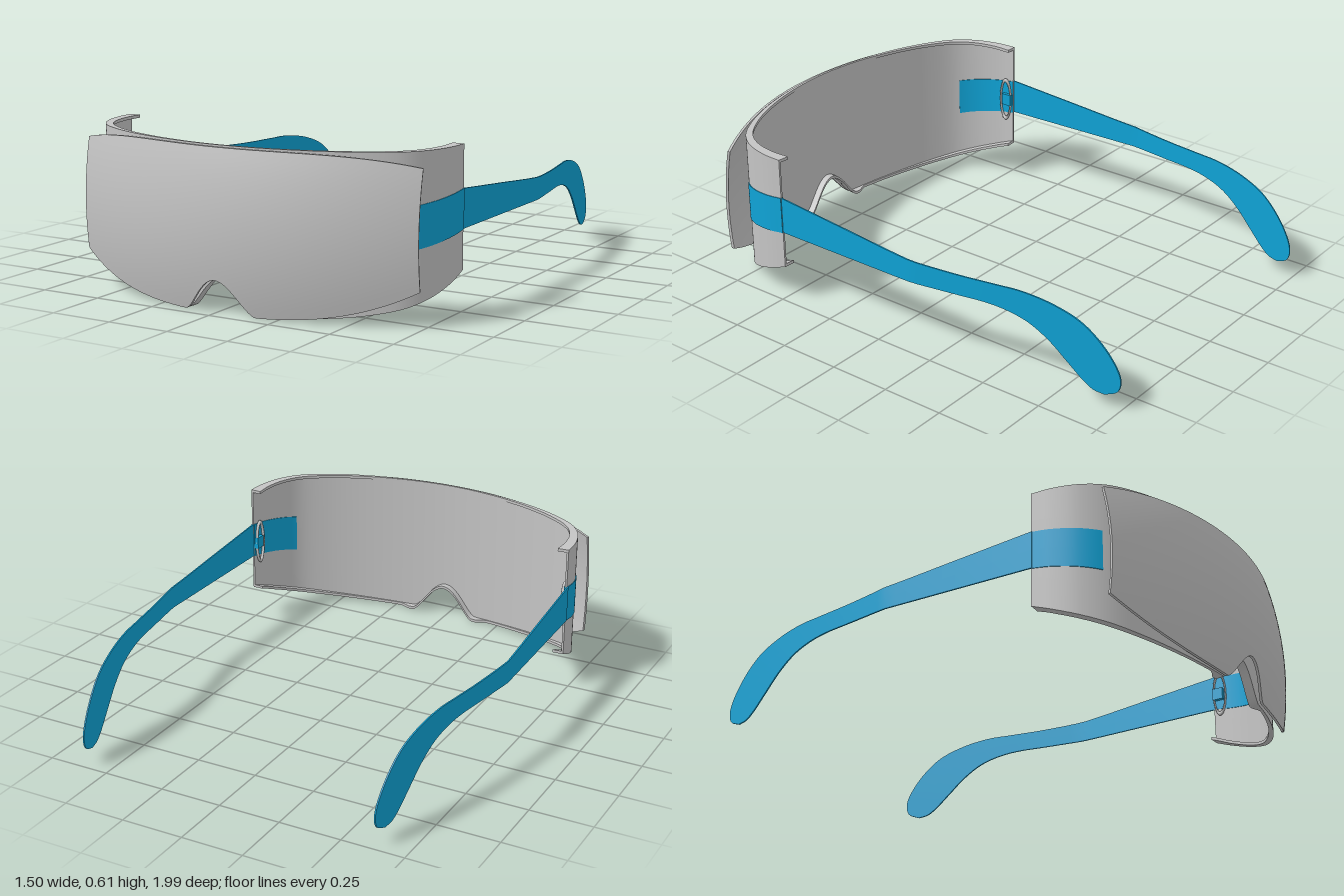
import * as THREE from 'three';
import { mergeGeometries } from 'three/addons/utils/BufferGeometryUtils.js';

// Smooth quad grid over f(a, b) -> [x, y, z]
function grid(na, nb, f, flip) {
  const pos = [], idx = [];
  for (let i = 0; i <= na; i++) for (let j = 0; j <= nb; j++) pos.push(...f(i / na, j / nb));
  for (let i = 0; i < na; i++) for (let j = 0; j < nb; j++) {
    const a = i * (nb + 1) + j, b = a + nb + 1, c = b + 1, d = a + 1;
    if (flip) idx.push(a, c, b, a, d, c);
    else idx.push(a, b, c, a, c, d);
  }
  const g = new THREE.BufferGeometry();
  g.setAttribute('position', new THREE.Float32BufferAttribute(pos, 3));
  g.setIndex(idx);
  g.computeVertexNormals();
  return g;
}

// Closed curved slab: f(u along, v up, d depth inward), sharp at its edges
function slab(nu, nv, f, flip = false) {
  return mergeGeometries([
    grid(nu, nv, (u, v) => f(u, v, 0), flip),
    grid(nu, nv, (u, v) => f(u, v, 1), !flip),
    grid(nu, 1, (u, d) => f(u, 0, d), !flip),
    grid(nu, 1, (u, d) => f(u, 1, d), flip),
    grid(nv, 1, (v, d) => f(0, v, d), flip),
    grid(nv, 1, (v, d) => f(1, v, d), !flip),
  ]);
}

const lerp = THREE.MathUtils.lerp;

// Arch cut for the nose
function notch(x) {
  const t = Math.abs(x - 0.015) / 0.15;
  return t < 1 ? 0.127 * Math.pow(1 - t * t, 1.7) : 0;
}

// Plan line of the wraparound frame, from the -x end past the front to the +x end
const half = [[0.737, 0.48], [0.733, 0.56], [0.705, 0.66], [0.65, 0.742], [0.55, 0.812], [0.4, 0.876], [0.2, 0.924]];
const planCurve = new THREE.CatmullRomCurve3([
  ...half.map(([x, z]) => new THREE.Vector3(0.008 - x, 0, z)),
  new THREE.Vector3(0.008, 0, 0.941),
  ...half.slice().reverse().map(([x, z]) => new THREE.Vector3(0.008 + x, 0, z)),
], false, 'centripetal');

function onFrame(u, y, inset) {
  const p = planCurve.getPointAt(u), t = planCurve.getTangentAt(u);
  return [p.x + t.z * inset, y, p.z - t.x * inset];
}

const TOP = 0.608;
function frameBottom(u) {
  const p = planCurve.getPointAt(u);
  return 0.15 * Math.pow(Math.max(0, (0.941 - p.z) / 0.461), 1.2) + notch(p.x);
}
const lipWidth = (u) => 0.01 + 0.036 * Math.pow(Math.abs(2 * u - 1), 2);
function lowerLipWidth(u) {
  const x = planCurve.getPointAt(u).x - 0.015;
  return Math.max(lipWidth(u), 0.036 * Math.min(1, Math.max(0, (0.23 - Math.abs(x)) / 0.06)));
}

// Edges of an earpiece in the side view: [z, y]
const edge = (pts) => new THREE.CatmullRomCurve3(pts.map(([z, y]) => new THREE.Vector3(0, y, z)), false, 'centripetal');
const upperEdge = edge([[0.485, 0.448], [0.16, 0.418], [-0.15, 0.39], [-0.35, 0.382], [-0.5, 0.382], [-0.61, 0.381],
  [-0.74, 0.358], [-0.85, 0.312], [-0.95, 0.215], [-0.995, 0.125], [-0.985, 0.075], [-0.94, 0.052]]);
const lowerEdge = edge([[0.485, 0.3], [0.16, 0.3], [-0.15, 0.3], [-0.35, 0.3], [-0.46, 0.3], [-0.55, 0.29],
  [-0.64, 0.262], [-0.72, 0.21], [-0.79, 0.145], [-0.86, 0.08], [-0.895, 0.058], [-0.935, 0.051]]);

// Sideways position of an earpiece from [z, x] stations
function bend(path, z) {
  let i = 0;
  while (i < path.length - 2 && z < path[i + 1][0]) i++;
  const [z0, x0] = path[i], [z1, x1] = path[i + 1];
  return lerp(x0, x1, (z - z0) / (z1 - z0));
}

export function createModel() {
  const group = new THREE.Group();
  const grey = new THREE.MeshStandardMaterial({ color: 0xc4c4c4 });
  grey.name = 'grey';
  const blue = new THREE.MeshStandardMaterial({ color: 0x0fa3d6 });
  blue.name = 'blue';
  const add = (name, geometry, material) => {
    const mesh = new THREE.Mesh(geometry, material);
    mesh.name = name;
    group.add(mesh);
    return mesh;
  };

  // Frame: thin wall with lips folded inward along both rims
  add('frameWall', slab(140, 4, (u, v, d) => onFrame(u, lerp(frameBottom(u), TOP, v), 0.008 * d)), grey);
  add('frameUpperLip', slab(140, 1, (u, v, d) => onFrame(u, TOP - 0.012 * (1 - v), lerp(0.002, lipWidth(u), d))), grey);
  add('frameLowerLip', slab(140, 1, (u, v, d) => onFrame(u, frameBottom(u) + 0.012 * v, lerp(0.002, lowerLipWidth(u), d))), grey);

  // Visor: shield bulging both ways, standing off the frame at its sides
  add('visor', slab(140, 16, (u, v, d) => {
    const s = 2 * u - 1, t = Math.abs(s), x = 0.015 + 0.72 * s;
    const low = 0.13 * t ** 3 + notch(x), high = 0.602 - 0.042 * t ** 4;
    const y = lerp(low, high, v);
    const z = 0.998 - 0.2 * s * s - 0.04 * ((y - 0.3) / 0.3) ** 2;
    return [x - 0.004 * s * d, y, z - 0.01 * d];
  }), grey);

  const sides = [
    { name: 'left', sign: 1, reach: 1, path: [[0.49, 0.741], [-0.165, 0.743], [-0.42, 0.7], [-1, 0.597]] },
    { name: 'right', sign: -1, reach: 0.988, path: [[0.49, -0.731], [-0.15, -0.749], [-0.42, -0.71], [-1, -0.622]] },
  ];
  for (const { name, sign, reach, path } of sides) {
    // Earpiece: thin strip with a hooked tip
    add(name + 'Earpiece', slab(66, 2, (u, v, d) => {
      const p = lowerEdge.getPoint(u).lerp(upperEdge.getPoint(u), v);
      const z = p.z < 0 ? p.z * reach : p.z;
      return [bend(path, z) + sign * (0.003 - 0.006 * d), p.y, z];
    }, sign < 0), blue);

    // Mounting strip showing on both faces of the frame wall
    add(name + 'MountStrip', slab(20, 2, (u, v, d) => {
      const w = sign > 0 ? 1 - 0.137 * (1 - u) : 0.137 * u;
      const away = sign > 0 ? 1 - u : u;
      const y = lerp(lerp(0.3, 0.258, away), lerp(0.448, 0.415, away), v);
      return onFrame(w, y, lerp(-0.003, 0.011, d));
    }), blue);

    // Hinge: slim upright loop round a small knuckle
    const loop = add(name + 'HingeLoop', new THREE.TorusGeometry(0.09, 0.009, 8, 28), grey);
    loop.scale.set(0.3, 1, 0.8);
    loop.rotation.y = Math.PI / 2;
    loop.position.set(0.008 + sign * 0.717, 0.36, 0.512);
    const knuckle = add(name + 'HingeKnuckle', new THREE.BoxGeometry(0.02, 0.05, 0.045), blue);
    knuckle.position.set(0.008 + sign * 0.72, 0.36, 0.505);
  }
  return group;
}
